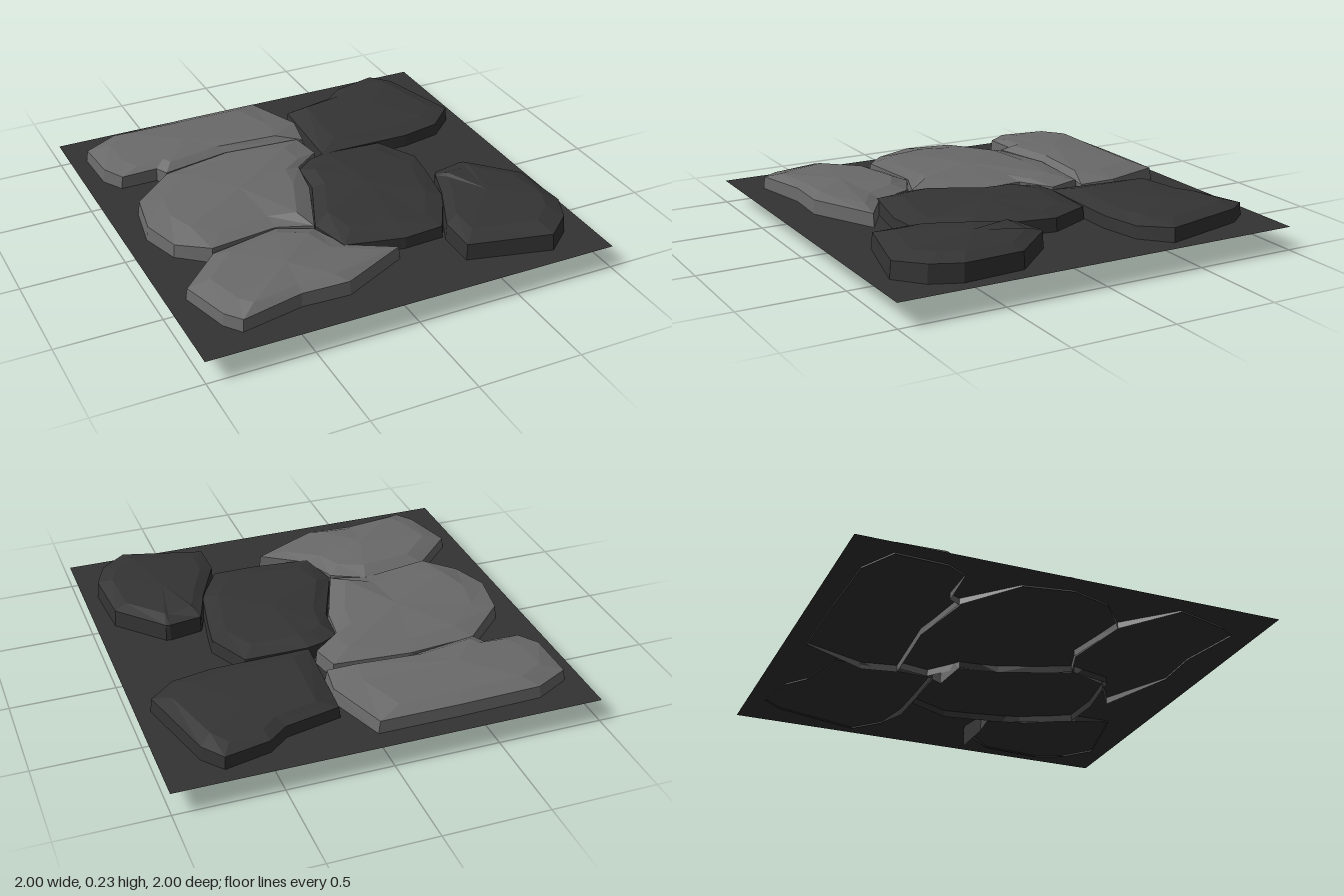
import * as THREE from 'three';

const material = (name, color) => {
  const m = new THREE.MeshStandardMaterial({ color, flatShading: true, side: THREE.DoubleSide });
  m.name = name;
  return m;
};

// Small seeded generator for the chiselled unevenness of the stones
function seeded(seed) {
  return () => {
    seed = (seed * 16807) % 2147483647;
    return seed / 2147483647;
  };
}

// Each stone: height of its crest and its outline as x, z points
const stones = [
  { name: 'backLeftStone', tone: 'light', height: 0.217, outline: [
    [-0.92, -0.8], [-0.75, -0.89], [-0.35, -0.9], [0.04, -0.9], [0.15, -0.6], [0.12, -0.43],
    [-0.3, -0.46], [-0.64, -0.4], [-0.67, -0.46], [-0.85, -0.46], [-0.91, -0.56]] },
  { name: 'middleLeftStone', tone: 'light', height: 0.22, outline: [
    [-0.64, -0.41], [-0.3, -0.46], [0.08, -0.43], [0.11, -0.28], [-0.03, -0.17], [-0.06, 0.02],
    [-0.19, 0.35], [-0.36, 0.29], [-0.7, 0.34], [-0.84, 0.22], [-0.9, 0.03], [-0.86, -0.2]] },
  { name: 'frontLeftStone', tone: 'light', height: 0.215, outline: [
    [-0.7, 0.34], [-0.36, 0.28], [-0.2, 0.36], [-0.13, 0.54], [0.08, 0.67],
    [-0.25, 0.83], [-0.48, 0.82], [-0.78, 0.88], [-0.84, 0.8], [-0.91, 0.55]] },
  { name: 'backRightStone', tone: 'dark', height: 0.215, outline: [
    [0.15, -0.73], [0.42, -0.79], [0.52, -0.87], [0.74, -0.92], [0.82, -0.82],
    [0.93, -0.4], [0.8, -0.28], [0.6, -0.24], [0.12, -0.24]] },
  { name: 'middleRightStone', tone: 'dark', height: 0.215, outline: [
    [-0.04, -0.17], [0.05, -0.23], [0.13, -0.25], [0.44, -0.24], [0.54, -0.03], [0.52, 0.11],
    [0.47, 0.38], [0.34, 0.6], [0.14, 0.61], [-0.15, 0.56], [-0.2, 0.35], [-0.06, 0.02]] },
  { name: 'frontRightStone', tone: 'dark', height: 0.235, outline: [
    [0.53, 0.17], [0.69, 0.14], [0.71, 0.145], [0.91, 0.36], [0.93, 0.66], [0.87, 0.8],
    [0.74, 0.91], [0.34, 0.81], [0.34, 0.62], [0.46, 0.36], [0.515, 0.2]] },
];

// Skirts stop near the ground outside, dip below it in the joints, and hang deepest at two corners
function skirtBottom(x, z) {
  if (Math.hypot(x - 0.61, z - 0.155) < 0.09) return 0.13 - x * 0.18;
  if (Math.hypot(x - 0.05, z + 0.23) < 0.06) return 0.03;
  return Math.max(Math.abs(x), Math.abs(z)) > 0.72 ? 0.11 : 0.085;
}

// Open-bottomed slab: skirt ring, rim ring, uneven shoulder ring and a crest
function stoneGeometry({ height, outline }, seed) {
  const random = seeded(seed);
  const n = outline.length;
  const cx = outline.reduce((sum, p) => sum + p[0], 0) / n;
  const cz = outline.reduce((sum, p) => sum + p[1], 0) / n;
  const ring = (scale, y) => outline.map(([x, z]) => [
    cx + (x - cx) * scale, y(x, z), cz + (z - cz) * scale]);
  const uneven = (y, amount) => () => y + (random() - 0.5) * amount;
  const rings = [
    ring(1, skirtBottom),
    ring(0.98, uneven(height - 0.036, 0.016)),
    ring(0.75, uneven(height - 0.013, 0.014)),
  ];
  const positions = [];
  const triangle = (...corners) => corners.forEach((c) => positions.push(...c));
  for (let i = 0; i < n; i++) {
    const j = (i + 1) % n;
    for (let r = 0; r < rings.length - 1; r++) {
      const a = rings[r], b = rings[r + 1];
      triangle(a[i], b[i], b[j]);
      triangle(a[i], b[j], a[j]);
    }
    triangle(rings[2][i], [cx, height, cz], rings[2][j]);
  }
  const geometry = new THREE.BufferGeometry();
  geometry.setAttribute('position', new THREE.Float32BufferAttribute(positions, 3));
  geometry.computeVertexNormals();
  return geometry;
}

export function createModel() {
  const model = new THREE.Group();
  model.name = 'stonePaving';
  const materials = {
    light: material('lightStone', 0x6a6a6a),
    dark: material('darkStone', 0x343434),
    ground: material('ground', 0x333333),
  };

  // Thin ground sheet the stones are set into
  const ground = new THREE.Mesh(new THREE.PlaneGeometry(2, 2).rotateX(-Math.PI / 2), materials.ground);
  ground.name = 'groundSheet';
  ground.position.y = 0.118;
  model.add(ground);

  // Six paving stones
  stones.forEach((stone, i) => {
    const mesh = new THREE.Mesh(stoneGeometry(stone, 101 + i * 7919), materials[stone.tone]);
    mesh.name = stone.name;
    model.add(mesh);
  });
  return model;
}
